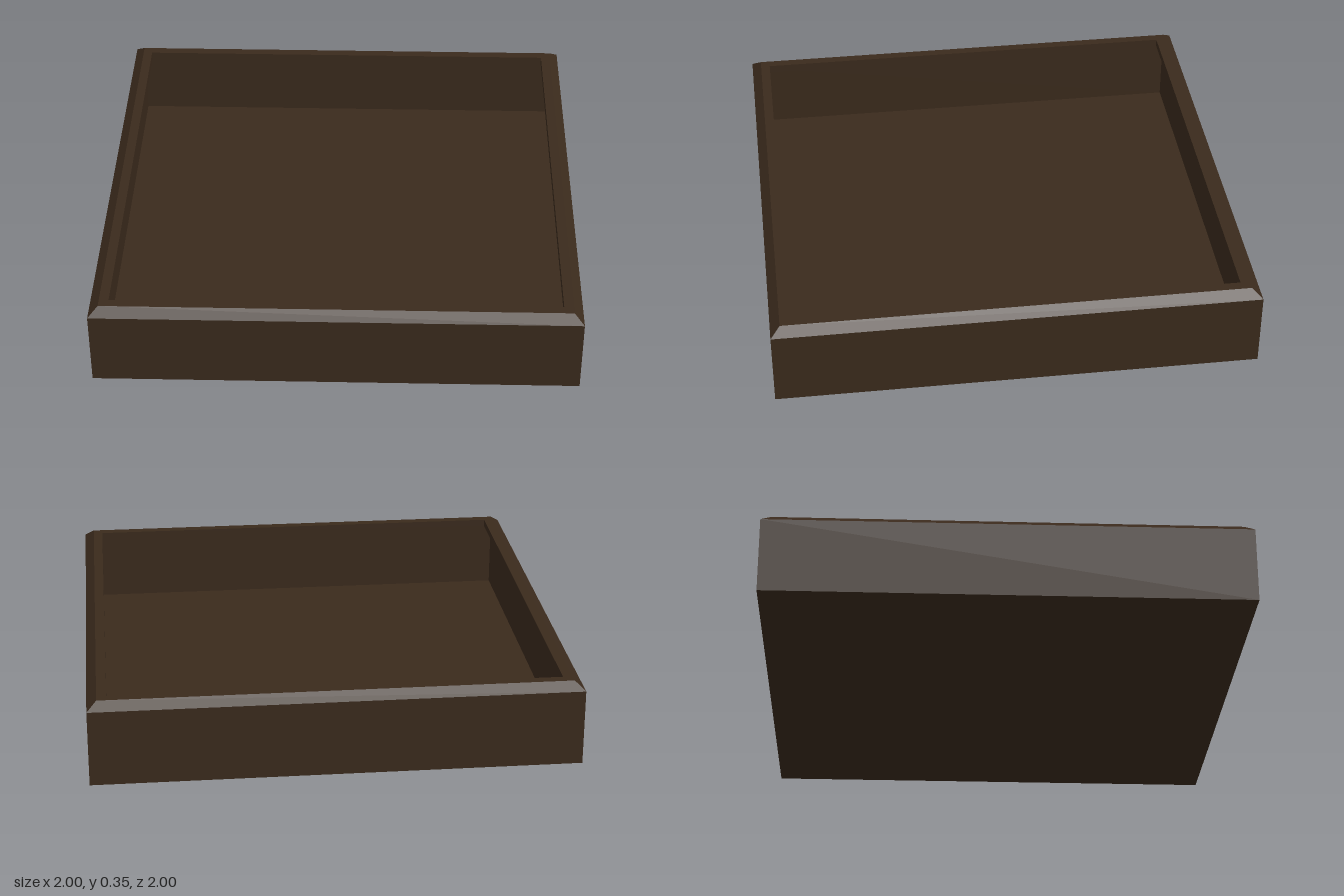
import * as THREE from 'three';

export function createModel() {
  const model = new THREE.Group();
  model.name = 'tray';
  const darkWood = new THREE.MeshStandardMaterial({ color: 0x3a2a1c });
  darkWood.name = 'darkWood';

  const add = (name, geometry, y = 0) => {
    const mesh = new THREE.Mesh(geometry, darkWood);
    mesh.name = name;
    mesh.position.y = y;
    model.add(mesh);
  };

  // Square wall ring: outer face, chamfer, flat rim, overhanging lip, inner face
  const profile = [[1, 0], [1, 0.32], [0.96, 0.353], [0.92, 0.353], [0.92, 0.32], [0.96, 0.32], [0.96, 0.02]]
    .map(([r, y]) => new THREE.Vector2(r * Math.SQRT2, y));
  const walls = new THREE.LatheGeometry(profile, 4, Math.PI / 4).toNonIndexed();
  walls.computeVertexNormals();
  add('walls', walls);

  // Inner floor and underside
  add('floor', new THREE.PlaneGeometry(1.92, 1.92).rotateX(-Math.PI / 2), 0.02);
  add('underside', new THREE.PlaneGeometry(2, 2).rotateX(Math.PI / 2));

  return model;
}
